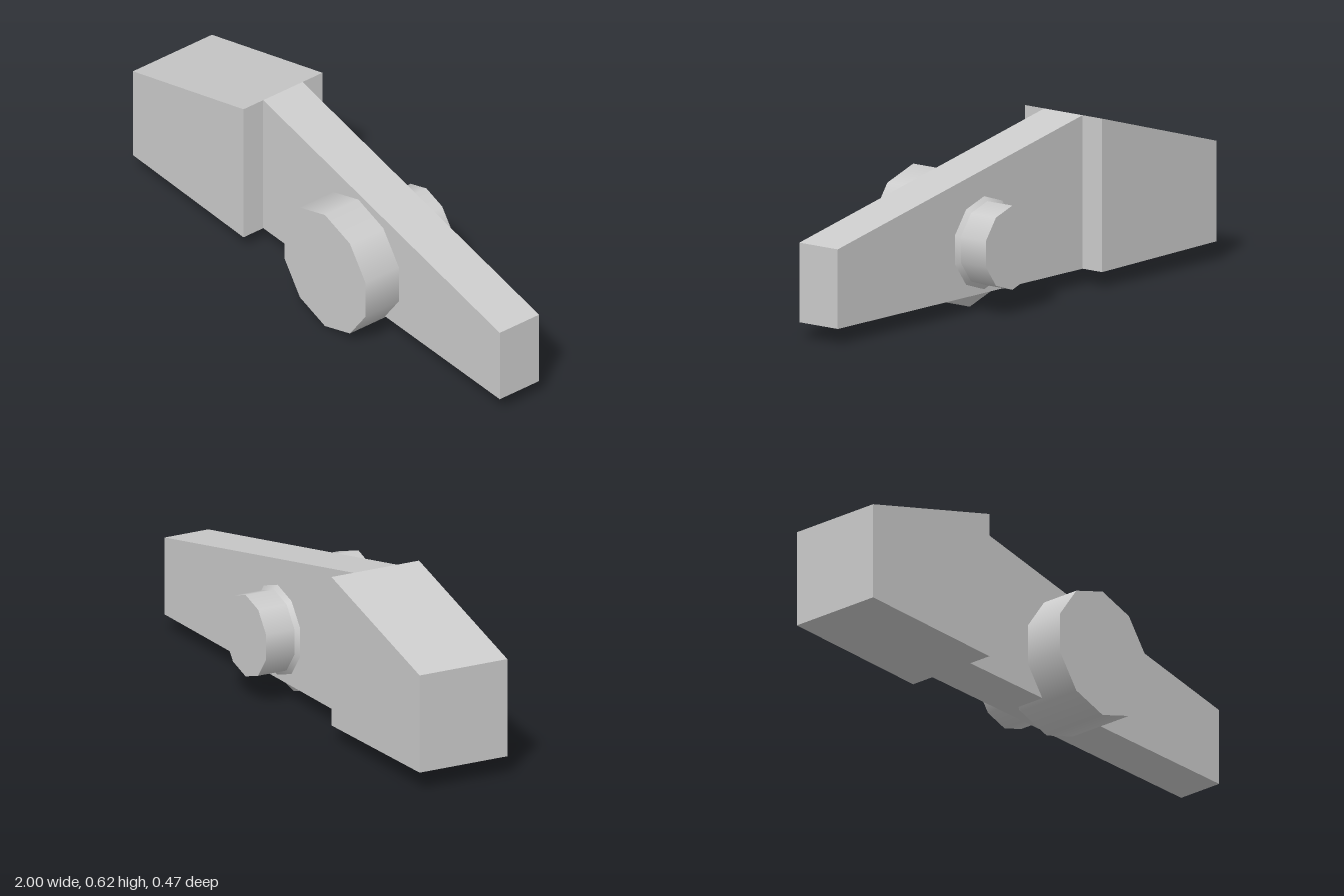
import * as THREE from 'three';

const material = new THREE.MeshStandardMaterial({ color: 0xcccccc });

// Side outline in x/y, extruded between two depths
function slab(name, outline, zBack, zFront) {
  const shape = new THREE.Shape(outline.map(([x, y]) => new THREE.Vector2(x, y)));
  const geometry = new THREE.ExtrudeGeometry(shape, { depth: zFront - zBack, bevelEnabled: false });
  geometry.translate(0, 0, zBack);
  const mesh = new THREE.Mesh(geometry, material);
  mesh.name = name;
  return mesh;
}

// Ten-sided pivot section lying along z, with a corner at the top
function pivotSection(name, rFront, rBack, zBack, zFront) {
  const geometry = new THREE.CylinderGeometry(rFront, rBack, zFront - zBack, 10);
  geometry.rotateX(Math.PI / 2);
  const mesh = new THREE.Mesh(geometry, material);
  mesh.position.set(0.185, 0.245, (zFront + zBack) / 2);
  mesh.name = name;
  return mesh;
}

export function createModel() {
  const model = new THREE.Group();
  model.name = 'pivotedArm';

  // Tapering arm and the wider wedge block at its end
  model.add(slab('arm', [[-0.363, 0.06], [1, 0.06], [1, 0.353], [-0.363, 0.625]], -0.101, 0.08));
  model.add(slab('endBlock', [[-1, 0.07], [-0.363, 0.06], [-0.363, 0.625], [-1, 0.44]], -0.193, 0.171));

  // Pivot: wide front disc, tapered shoulder, narrow rear stub
  model.add(pivotSection('frontDisc', 0.245, 0.245, -0.033, 0.234));
  model.add(pivotSection('shoulder', 0.245, 0.155, -0.116, -0.033));
  model.add(pivotSection('rearStub', 0.155, 0.155, -0.234, -0.116));

  return model;
}
